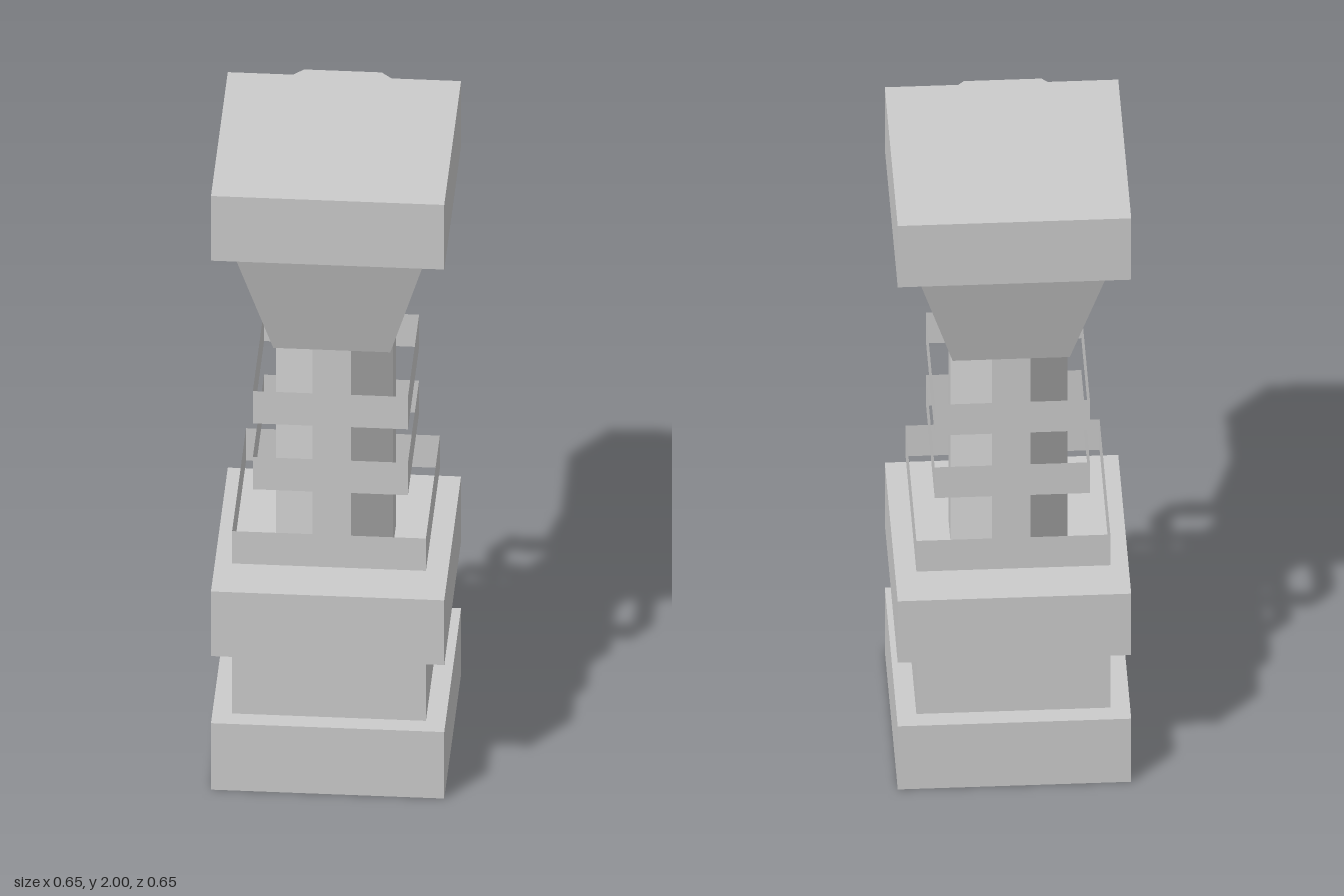
import * as THREE from 'three';

const solid = new THREE.MeshStandardMaterial({ color: 0xcccccc, flatShading: true });
const sheet = new THREE.MeshStandardMaterial({ color: 0xcccccc, flatShading: true, side: THREE.DoubleSide });

// Square block between two heights
function block(name, half, y0, y1) {
  const mesh = new THREE.Mesh(new THREE.BoxGeometry(half * 2, y1 - y0, half * 2), solid);
  mesh.position.y = (y0 + y1) / 2;
  mesh.name = name;
  return mesh;
}

// Four open walls, straight or tapered
function squareWalls(name, half0, half1, y0, y1) {
  const geo = new THREE.CylinderGeometry(half1 * Math.SQRT2, half0 * Math.SQRT2, y1 - y0, 4, 1, true);
  geo.rotateY(Math.PI / 4);
  const mesh = new THREE.Mesh(geo, sheet);
  mesh.position.y = (y0 + y1) / 2;
  mesh.name = name;
  return mesh;
}

// Chamfered square outline as [x, z]: h = half width, f = half of the flat side
const octagon = (h, f) => [[-f, h], [f, h], [h, f], [h, -f], [f, -h], [-f, -h], [-h, -f], [-h, f]];

// Octagonal prism or frustum between two outlines, with an optional lid
function octagonLoft(name, lower, upper, y0, y1, lid) {
  const pos = [];
  const n = lower.length;
  for (let i = 0; i < n; i++) {
    const j = (i + 1) % n;
    const a = [lower[i][0], y0, lower[i][1]], b = [lower[j][0], y0, lower[j][1]];
    const c = [upper[j][0], y1, upper[j][1]], d = [upper[i][0], y1, upper[i][1]];
    pos.push(...a, ...b, ...c, ...a, ...c, ...d);
    if (lid) pos.push(0, y1, 0, ...d, ...c);
  }
  const geo = new THREE.BufferGeometry();
  geo.setAttribute('position', new THREE.Float32BufferAttribute(pos, 3));
  geo.computeVertexNormals();
  const mesh = new THREE.Mesh(geo, sheet);
  mesh.name = name;
  return mesh;
}

export function createModel() {
  const model = new THREE.Group();
  model.name = 'pillar';

  // Stepped pedestal
  model.add(
    block('plinth', 0.325, 0, 0.218),
    block('pedestalNeck', 0.27, 0.218, 0.438),
    block('pedestalTop', 0.325, 0.438, 0.65),
  );

  // Octagonal shaft
  const shaft = octagon(0.163, 0.054);
  model.add(octagonLoft('shaft', shaft, shaft, 0.65, 1.355, false));

  // Open square bands around the shaft
  [[0.27, 0.71], [0.216, 0.922], [0.216, 1.138]].forEach(([half, y], i) => {
    model.add(squareWalls('band' + (i + 1), half, half, y, y + 0.106));
  });

  // Flared capital, top slab and shallow octagonal dish
  model.add(
    squareWalls('capitalFlare', 0.163, 0.27, 1.355, 1.735),
    block('capitalSlab', 0.325, 1.735, 1.947),
    octagonLoft('topDish', shaft, octagon(0.27, 0.108), 1.947, 2, true),
  );

  return model;
}
